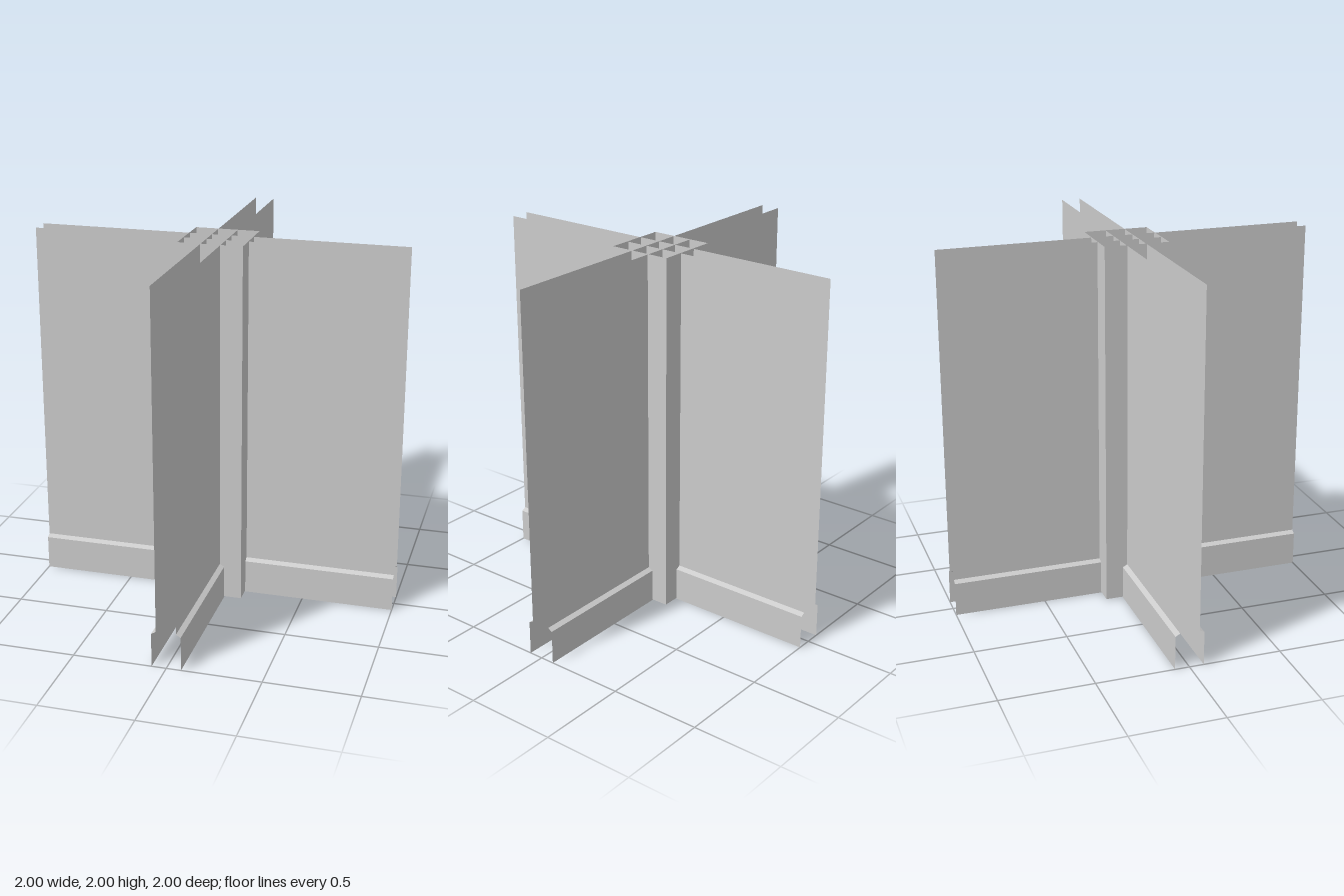
import * as THREE from 'three';

const material = new THREE.MeshStandardMaterial({ color: 0xcccccc, side: THREE.DoubleSide });

// Sweeps a wall section [offset, height] along x from -1 to 1
function sheet(section) {
  const pos = [];
  for (let i = 0; i < section.length - 1; i++) {
    const [z0, y0] = section[i], [z1, y1] = section[i + 1];
    pos.push(-1, y0, z0, 1, y0, z0, 1, y1, z1);
    pos.push(-1, y0, z0, 1, y1, z1, -1, y1, z1);
  }
  const g = new THREE.BufferGeometry();
  g.setAttribute('position', new THREE.Float32BufferAttribute(pos, 3));
  g.computeVertexNormals();
  return g;
}

export function createModel() {
  const group = new THREE.Group();

  // Thin wall sheets with a flared skirting, two crossing pairs
  const geometry = sheet([[0.078, 0], [0.078, 0.186], [0.053, 0.2], [0.053, 1.997]]);
  for (let i = 0; i < 4; i++) {
    const panel = new THREE.Mesh(geometry, material);
    panel.name = 'wallPanel' + (i + 1);
    panel.rotation.y = i * Math.PI / 2;
    group.add(panel);
  }

  // Square post, open at top and bottom
  const post = new THREE.Group();
  post.name = 'centrePost';
  const half = 0.174, height = 1.995;
  for (let i = 0; i < 4; i++) {
    const pivot = new THREE.Group();
    pivot.rotation.y = i * Math.PI / 2;
    const side = new THREE.Mesh(new THREE.PlaneGeometry(half * 2, height), material);
    side.name = 'postSide' + (i + 1);
    side.position.set(0, 0.005 + height / 2, half);
    pivot.add(side);
    post.add(pivot);
  }
  group.add(post);
  return group;
}
